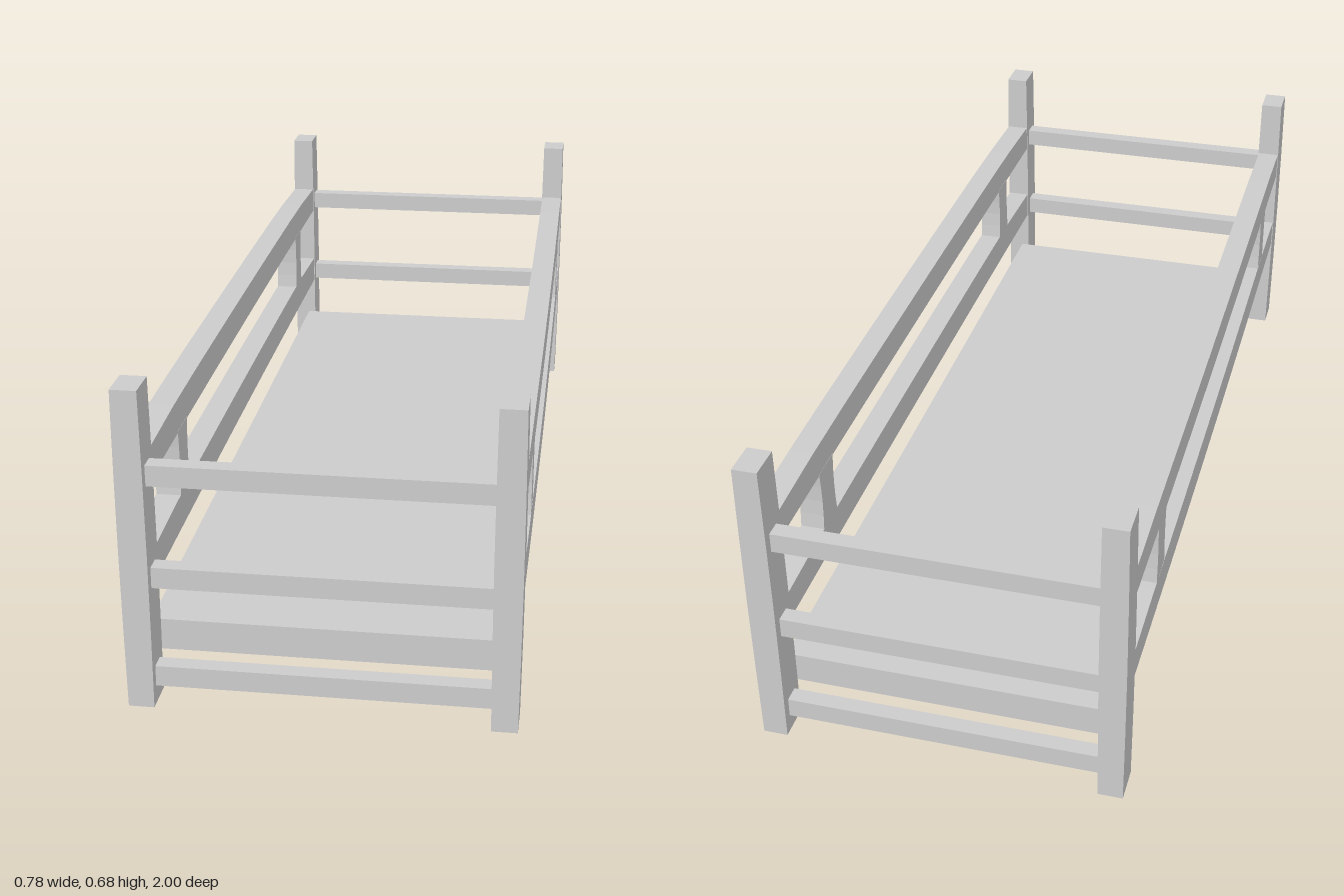
import * as THREE from 'three';

const material = new THREE.MeshStandardMaterial({ color: 0xcccccc, flatShading: true });

// Box given by its [min, max] ranges; bend(v) optionally moves vertices for a hand-hewn look
function beam(name, [x0, x1], [y0, y1], [z0, z1], segments = [1, 1, 1], bend) {
  const geometry = new THREE.BoxGeometry(x1 - x0, y1 - y0, z1 - z0, ...segments);
  geometry.translate((x0 + x1) / 2, (y0 + y1) / 2, (z0 + z1) / 2);
  if (bend) {
    const p = geometry.attributes.position;
    const v = new THREE.Vector3();
    for (let i = 0; i < p.count; i++) {
      bend(v.fromBufferAttribute(p, i));
      p.setXYZ(i, v.x, v.y, v.z);
    }
    geometry.computeVertexNormals();
  }
  const mesh = new THREE.Mesh(geometry, material);
  mesh.name = name;
  return mesh;
}

export function createModel() {
  const bed = new THREE.Group();
  bed.name = 'bedFrame';

  // Sleeping platform
  bed.add(beam('platform', [-0.35, 0.35], [0.09, 0.157], [-0.925, 0.925]));

  for (const side of [1, -1]) {
    const sideName = side > 0 ? 'left' : 'right';
    const xRange = side > 0 ? [0.333, 0.385] : [-0.385, -0.333];

    // Corner posts, slightly swollen at mid height
    for (const end of [1, -1]) {
      const zRange = end > 0 ? [0.925, 1] : [-1, -0.925];
      bed.add(beam(`${sideName}${end > 0 ? 'Front' : 'Back'}Post`, xRange, [0, 0.675], zRange, [1, 4, 1], v => {
        const swell = 0.002 * Math.sin(Math.PI * v.y / 0.675);
        v.x += Math.abs(v.x) > 0.36 ? side * swell : -side * swell;
      }));
    }

    // Long side rails, bowed outward and a touch slimmer at the ends
    for (const [name, y0, y1] of [['LowerSideRail', 0.256, 0.33], ['UpperSideRail', 0.468, 0.54]]) {
      bed.add(beam(sideName + name, xRange, [y0, y1], [-0.925, 0.925], [1, 1, 10], v => {
        const t = Math.abs(v.z) / 0.925;
        v.x += side * 0.003 * (1 - t * t);
        if (v.y > (y0 + y1) / 2) v.y -= 0.008 * Math.max(0, (t - 0.75) / 0.25);
      }));
    }

    // Short waisted uprights between the side rails
    for (const z of [0.677, -0.677]) {
      bed.add(beam(`${sideName}${z > 0 ? 'Front' : 'Back'}Upright`, xRange, [0.325, 0.472], [z - 0.039, z + 0.039], [1, 4, 1], v => {
        const waist = Math.sin(Math.PI * (v.y - 0.325) / 0.147);
        v.z -= Math.sign(v.z - z) * 0.005 * waist;
        v.x += side * 0.001;
      }));
    }
  }

  // Three crossbars at each end
  for (const end of [1, -1]) {
    const zRange = end > 0 ? [0.945, 0.98] : [-0.98, -0.945];
    [[0.038, 0.082], [0.256, 0.3], [0.473, 0.516]].forEach((yRange, i) => {
      bed.add(beam(`${end > 0 ? 'front' : 'back'}Crossbar${i + 1}`, [-0.34, 0.34], yRange, zRange));
    });
  }
  return bed;
}
